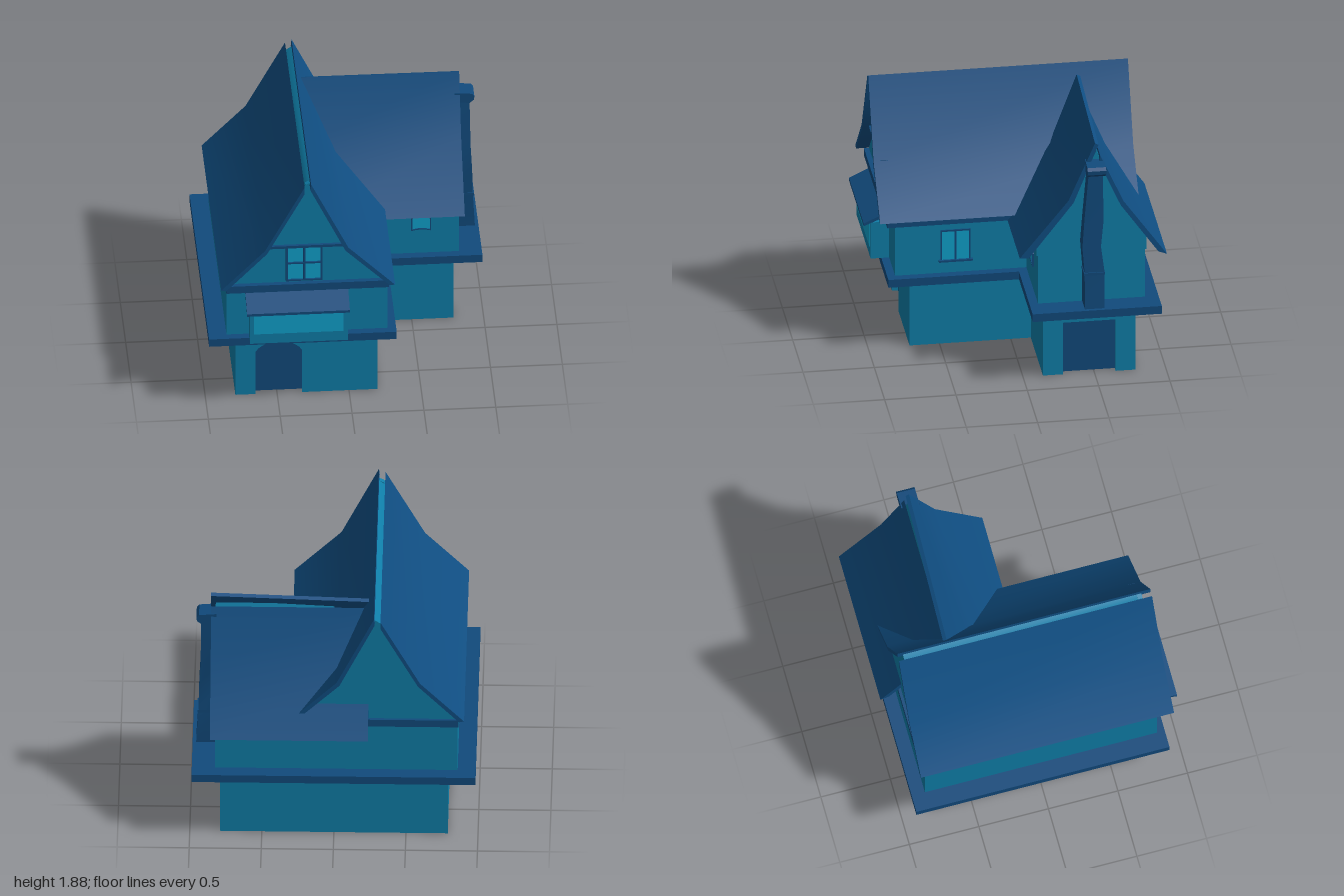
import * as THREE from 'three';
import { toCreasedNormals } from 'three/addons/utils/BufferGeometryUtils.js';

const mat = (color) => new THREE.MeshStandardMaterial({ color, side: THREE.DoubleSide });
const wall = mat(0x0f7ea8), trim = mat(0x114a7c), roof = mat(0x104e82), glass = mat(0x10a2cc);

export function createModel() {
  const house = new THREE.Group();
  house.name = 'house';

  const add = (name, geo, material) => {
    const mesh = new THREE.Mesh(geo, material);
    mesh.name = name;
    house.add(mesh);
    return mesh;
  };
  // Box given by its limits
  const box = (name, m, x0, x1, y0, y1, z0, z1) => {
    const g = new THREE.BoxGeometry(x1 - x0, y1 - y0, z1 - z0);
    g.translate((x0 + x1) / 2, (y0 + y1) / 2, (z0 + z1) / 2);
    return add(name, g, m);
  };
  const poly = (pts) => new THREE.Shape(pts.map(([a, b]) => new THREE.Vector2(a, b)));
  const extrude = (shape, depth) => toCreasedNormals(
    new THREE.ExtrudeGeometry(shape, { depth, bevelEnabled: false, curveSegments: 10 }), 0.5);
  // Outline in x,y swept along z
  const sweepZ = (name, m, shape, z0, z1) => add(name, extrude(shape, z1 - z0).translate(0, 0, z0), m);
  // Outline in z,y swept along x
  const sweepX = (name, m, pts, x0, x1) => add(name,
    extrude(poly(pts.map(([z, y]) => [-z, y])), x1 - x0).rotateY(Math.PI / 2).translate(x0, 0, 0), m);

  // Ground floor: core blocks plus outer panels that leave door recesses
  box('groundFloorMain', wall, -0.79, 0.2, 0, 0.52, -0.79, 0.66);
  box('groundFloorWing', wall, 0.2, 0.74, 0, 0.52, -0.79, -0.14);
  const front = new THREE.Shape();
  front.moveTo(-0.79, 0).lineTo(-0.65, 0).lineTo(-0.65, 0.35);
  front.bezierCurveTo(-0.6, 0.455, -0.375, 0.455, -0.325, 0.35);
  front.lineTo(-0.325, 0).lineTo(0.2, 0).lineTo(0.2, 0.52).lineTo(-0.79, 0.52);
  sweepZ('frontWallPanel', wall, front, 0.66, 0.71);
  box('frontDoor', trim, -0.66, -0.315, 0.001, 0.44, 0.655, 0.668);
  sweepX('sideWallPanel', wall, [[-0.14, 0], [-0.28, 0], [-0.28, 0.4], [-0.65, 0.4], [-0.65, 0],
    [-0.79, 0], [-0.79, 0.52], [-0.14, 0.52]], 0.74, 0.79);
  box('sideDoor', trim, 0.735, 0.748, 0.001, 0.41, -0.66, -0.27);
  sweepX('sideDoorLintel', trim, [[-0.14, 0.52], [-0.28, 0.475], [-0.65, 0.475], [-0.79, 0.52]], 0.78, 0.796);

  // Overhanging floor slab
  sweepZ('floorSlab', trim, poly([[-0.985, -0.875], [0.32, -0.875], [0.32, 0.04], [0.985, 0.04],
    [0.985, 0.945], [-0.985, 0.945]]), 0, 0.06).geometry.rotateX(-Math.PI / 2).translate(0, 0.52, 0);

  // Upper floor
  box('upperFloorMain', wall, -0.86, 0.26, 0.58, 0.98, -0.85, 0.82);
  box('upperFloorWing', wall, 0.26, 0.825, 0.58, 0.96, -0.85, -0.1);
  box('eaveBeam', trim, -0.865, 0.265, 0.955, 1.012, -0.87, 0.875);

  // Attic volumes under the roofs
  sweepZ('mainGable', wall, poly([[-0.87, 1.01], [-0.59, 1.31], [-0.325, 1.815], [-0.28, 1.845],
    [-0.03, 1.31], [0.265, 1.01]]), -0.85, 0.84);
  box('gableBeam', trim, -0.59, -0.02, 1.318, 1.338, 0.83, 0.885);
  sweepZ('upperGable', wall, poly([[-0.585, 1.335], [-0.315, 1.83], [-0.28, 1.845], [-0.035, 1.335]]), 0.83, 0.865);
  sweepX('wingGable', wall, [[-0.09, 0.95], [-0.09, 1.06], [-0.335, 1.37], [-0.51, 1.74], [-0.535, 1.68],
    [-0.69, 1.32], [-0.86, 1.08], [-0.86, 0.95]], 0, 0.825);

  // Main roof slopes
  sweepZ('mainRoofLeft', roof, poly([[-0.905, 1.02], [-0.6, 1.335], [-0.325, 1.85], [-0.325, 1.795],
    [-0.585, 1.31], [-0.87, 1.012]]), -0.89, 0.93);
  sweepZ('mainRoofRight', roof, poly([[0.305, 1.01], [-0.02, 1.335], [-0.28, 1.875], [-0.285, 1.825],
    [-0.04, 1.31], [0.265, 1.01]]), -0.89, 0.93);

  // Wing roof slopes, the front ridge sagging toward the main roof
  const wingFront = sweepX('wingRoofFront', roof, [[0.032, 0.955], [-0.31, 1.38], [-0.495, 1.812],
    [-0.52, 1.8], [-0.345, 1.36], [-0.03, 0.95]], -0.24, 0.857);
  const p = wingFront.geometry.attributes.position;
  for (let i = 0; i < p.count; i++) {
    if (p.getX(i) < 0 && p.getY(i) > 1.7) p.setXYZ(i, p.getX(i), p.getY(i) - 0.015, p.getZ(i) - 0.03);
  }
  sweepX('wingRoofBack', roof, [[-1.0, 0.918], [-0.695, 1.35], [-0.53, 1.72], [-0.525, 1.66],
    [-0.675, 1.32], [-0.94, 0.94]], -0.24, 0.857);

  // Crooked chimney: y, x0, x1, z0, z1 per section
  const sections = [[0.58, 0.82, 0.96, -0.545, -0.41], [0.85, 0.82, 0.945, -0.55, -0.41],
    [1.05, 0.82, 0.94, -0.525, -0.395], [1.25, 0.82, 0.93, -0.545, -0.41], [1.6, 0.82, 0.925, -0.54, -0.44]];
  const n = sections.length - 1;
  const stack = new THREE.BoxGeometry(1, 1, 1, 1, n, 1);
  const c = stack.attributes.position;
  for (let i = 0; i < c.count; i++) {
    const [y, x0, x1, z0, z1] = sections[Math.round((c.getY(i) + 0.5) * n)];
    c.setXYZ(i, c.getX(i) < 0 ? x0 : x1, y, c.getZ(i) < 0 ? z0 : z1);
  }
  add('chimney', toCreasedNormals(stack, 0.4), trim);
  sweepZ('chimneyCap', trim, poly([[0.82, 1.6], [0.925, 1.59], [0.955, 1.615], [0.958, 1.645],
    [0.94, 1.665], [0.82, 1.675]]), -0.56, -0.43);
  box('chimneyBand', trim, 0.82, 0.952, 0.835, 0.855, -0.552, -0.405);

  // Bay with awning
  box('bay', wall, -0.705, -0.025, 0.58, 0.86, 0.8, 0.95);
  box('bayWindow', glass, -0.68, -0.055, 0.66, 0.84, 0.94, 0.955);
  sweepX('awning', trim, [[1.0, 0.84], [1.0, 0.86], [0.82, 0.945], [0.82, 0.915]], -0.73, -0.015);

  // Gable window with four panes
  box('gableWindow', glass, -0.445, -0.2, 1.035, 1.315, 0.83, 0.847);
  for (const x of [-0.443, -0.322, -0.202]) box('gableWindowPost', trim, x - 0.007, x + 0.007, 1.028, 1.32, 0.83, 0.86);
  for (const y of [1.034, 1.175, 1.313]) box('gableWindowBar', trim, -0.45, -0.195, y - 0.006, y + 0.006, 0.83, 0.859);

  // Side window with sill
  box('sideWindow', glass, 0.25, 0.264, 0.68, 0.91, 0.295, 0.5);
  for (const z of [0.298, 0.398, 0.497]) box('sideWindowPost', trim, 0.25, 0.269, 0.68, 0.91, z - 0.006, z + 0.006);
  box('sideWindowHead', trim, 0.25, 0.269, 0.9, 0.912, 0.292, 0.503);
  box('sideWindowSill', trim, 0.25, 0.28, 0.668, 0.682, 0.275, 0.515);

  // Arched wing window
  const arch = (Type, d) => {
    const s = new Type();
    s.moveTo(0.492 + d, 0.77 + d).quadraticCurveTo(0.56, 0.79 + d, 0.632 - d, 0.77 + d);
    s.lineTo(0.632 - d, 0.868).bezierCurveTo(0.6, 0.925 - d, 0.525, 0.925 - d, 0.492 + d, 0.868);
    return s;
  };
  sweepZ('archedWindow', glass, arch(THREE.Shape, 0.004), -0.11, -0.094);
  const frame = arch(THREE.Shape, 0);
  frame.holes.push(arch(THREE.Path, 0.009));
  sweepZ('archedWindowFrame', trim, frame, -0.11, -0.087);

  return house;
}
